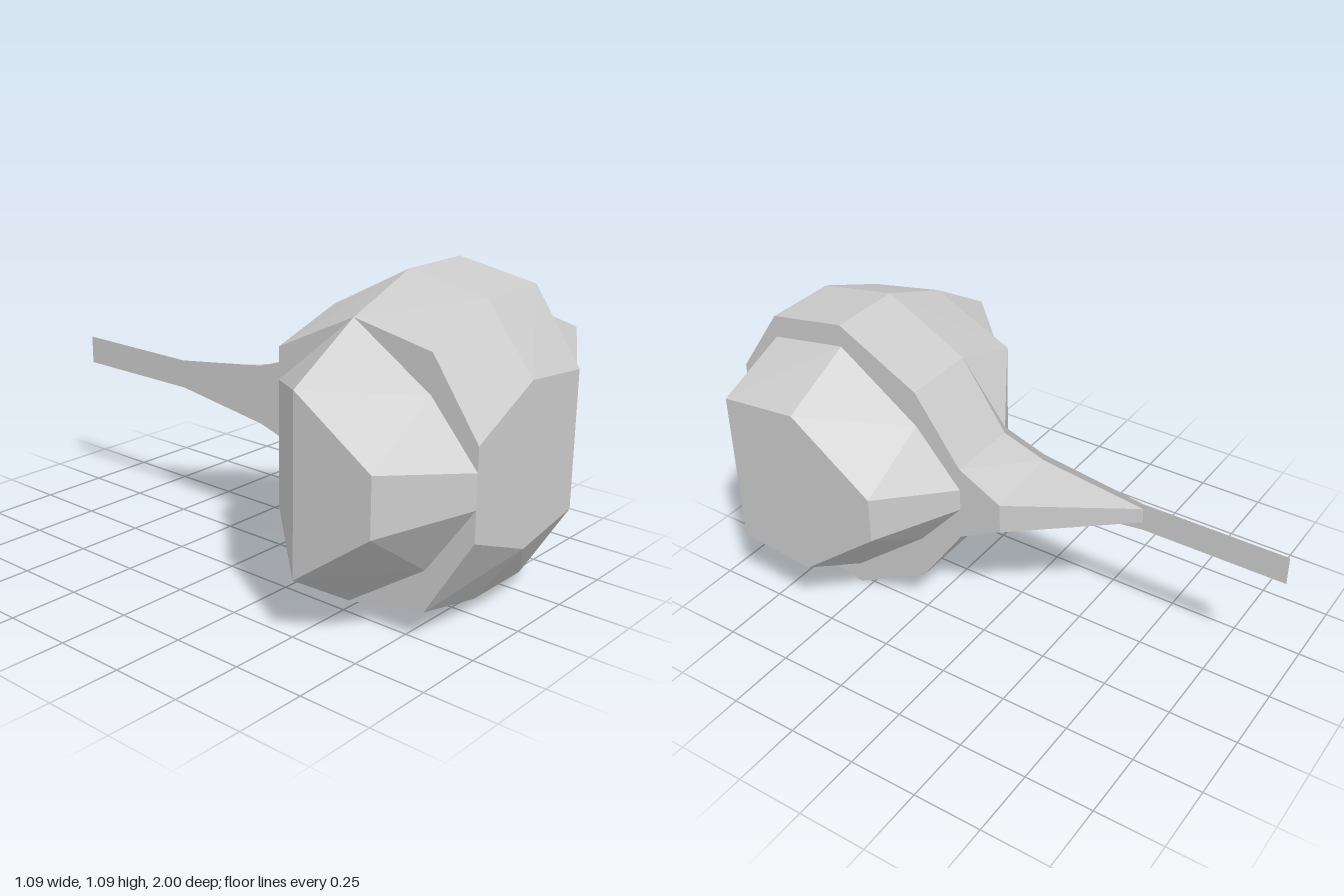
import * as THREE from 'three';

// Cross-section rows run front to back: [z, top y, bottom y]
const front = [[1, 0.82, 0.28], [0.83, 1.04, 0.055], [0.54, 1.09, 0], [0.24, 0.93, 0.165], [0.07, 0.685, 0.41]];

const bands = {
  rightOuterBand: {
    x: [-0.545, -0.273],
    a: [[0.83, 0.63, 0.435], [0.83, 0.63, 0.435], [0.54, 0.82, 0.22], [0.54, 0.82, 0.22]],
    b: [[1, 0.605, 0.49], [0.83, 0.8, 0.25], [0.54, 0.985, 0.055], [0.24, 0.73, 0.3]],
    caps: [true, false],
  },
  rightInnerBand: {
    x: [-0.273, 0],
    a: [[1, 0.685, 0.385], [0.83, 0.93, 0.11], [0.54, 0.985, 0.055], [0.24, 0.84, 0.2], [0.24, 0.84, 0.2]],
    b: front,
    caps: [true, false],
  },
  leftInnerBand: {
    x: [0, 0.273],
    a: [...front, [-0.09, 0.63, 0.465], [-0.48, 0.58, 0.525]],
    b: [[1, 0.795, 0.33], [0.83, 1.04, 0.055], [0.54, 1.09, 0], [0.24, 0.93, 0.165], [0.07, 0.69, 0.41],
      [-0.09, 0.605, 0.495], [-0.09, 0.605, 0.495]],
    caps: [false, true],
  },
  leftOuterBand: {
    x: [0.273, 0.545],
    a: [[1, 0.71, 0.41], [0.83, 0.96, 0.14], [0.54, 1.01, 0.085], [0.24, 0.8, 0.33], [0.07, 0.605, 0.525]],
    b: [[0.83, 0.85, 0.275], [0.83, 0.85, 0.275], [0.54, 0.88, 0.25], [0.24, 0.66, 0.495], [0.24, 0.66, 0.495]],
    caps: [false, true],
  },
};

// Faceted band between two cross-sections, with optional side walls
function bandGeometry({ x: [xa, xb], a, b, caps }) {
  const pos = [];
  const tri = (p, q, r) => {
    const n = q.clone().sub(p).cross(r.clone().sub(p));
    if (n.length() > 1e-6) [p, q, r].forEach((v) => pos.push(v.x, v.y, v.z));
  };
  // Split each quad along the diagonal that bulges outward
  const quad = (p, q, r, s, up = 0) => {
    if (up * (p.y + r.y - q.y - s.y) >= 0) { tri(p, q, r); tri(p, r, s); }
    else { tri(p, q, s); tri(q, r, s); }
  };
  const points = (x, rows, k) => rows.map((r) => new THREE.Vector3(x, r[k], r[0]));
  const at = points(xa, a, 1), ab = points(xa, a, 2);
  const bt = points(xb, b, 1), bb = points(xb, b, 2);
  const n = a.length - 1;
  for (let i = 0; i < n; i++) {
    quad(at[i], bt[i], bt[i + 1], at[i + 1], 1);
    quad(ab[i], ab[i + 1], bb[i + 1], bb[i], -1);
    if (caps[0]) quad(ab[i], at[i], at[i + 1], ab[i + 1]);
    if (caps[1]) quad(bb[i], bb[i + 1], bt[i + 1], bt[i]);
  }
  quad(ab[0], bb[0], bt[0], at[0]);
  quad(bb[n], ab[n], at[n], bt[n]);
  const geometry = new THREE.BufferGeometry();
  geometry.setAttribute('position', new THREE.Float32BufferAttribute(pos, 3));
  geometry.computeVertexNormals();
  return geometry;
}

export function createModel() {
  const group = new THREE.Group();
  group.name = 'facetedBody';
  const material = new THREE.MeshStandardMaterial({ color: 0xcccccc, flatShading: true });
  const add = (name, geometry, mat) => {
    const mesh = new THREE.Mesh(geometry, mat);
    mesh.name = name;
    group.add(mesh);
    return mesh;
  };

  for (const [name, band] of Object.entries(bands)) add(name, bandGeometry(band), material);

  // Thin upright tail plate on the centre line, drawn in (z, y) and turned to face sideways
  const rows = [[0.24, 0.93, 0.165], [0.07, 0.71, 0.39], [-0.09, 0.655, 0.44], [-0.48, 0.6, 0.495], [-1, 0.6, 0.495]];
  const outline = [
    ...rows.map(([z, top]) => new THREE.Vector2(-z, top)),
    ...rows.map(([z, , bottom]) => new THREE.Vector2(-z, bottom)).reverse(),
  ];
  const plateMaterial = material.clone();
  plateMaterial.side = THREE.DoubleSide;
  add('tailPlate', new THREE.ShapeGeometry(new THREE.Shape(outline)), plateMaterial).rotation.y = Math.PI / 2;

  return group;
}
